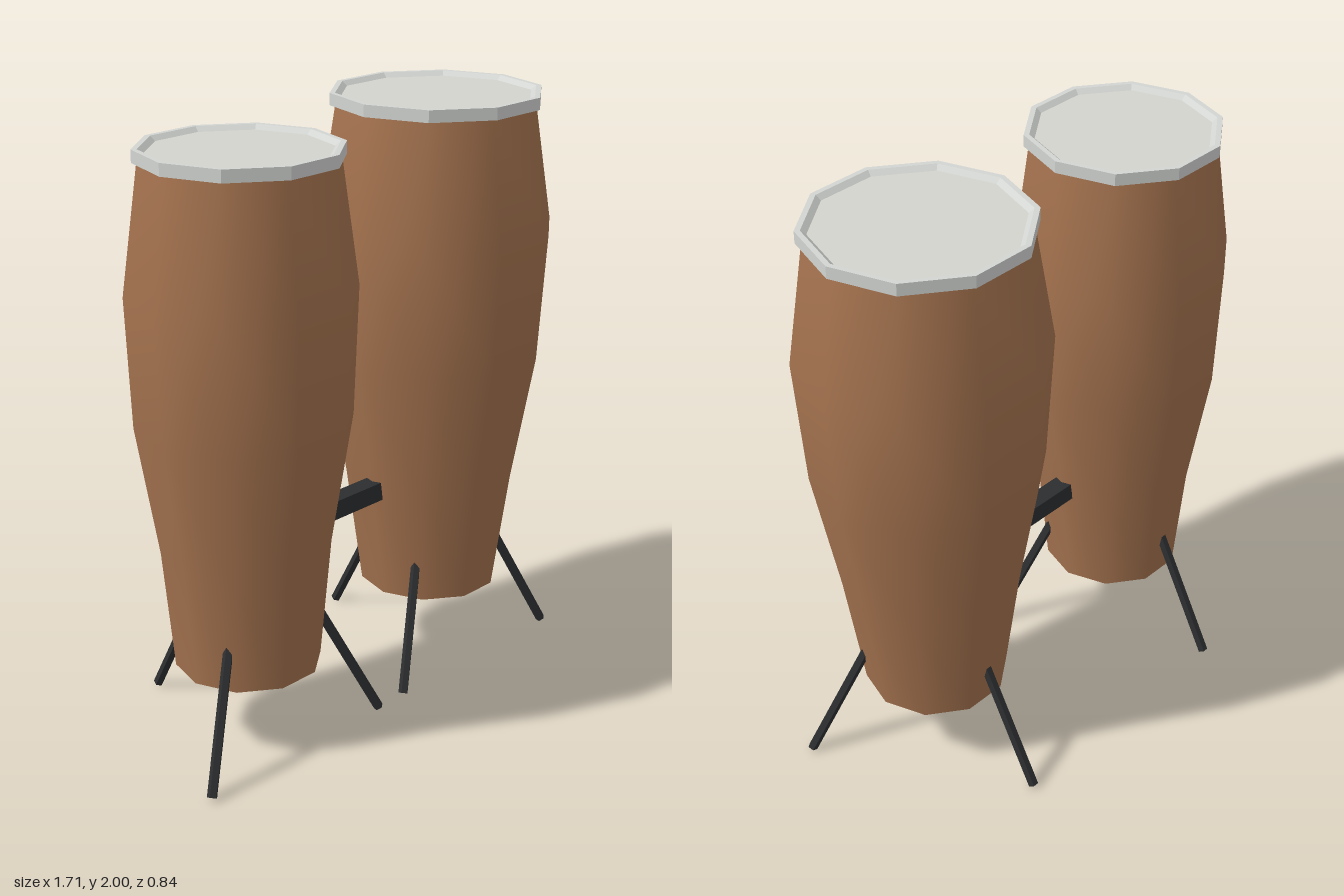
import * as THREE from 'three';

const SIDES = 10;

export function createModel() {
  const wood = new THREE.MeshStandardMaterial({ color: 0xa5734f, side: THREE.DoubleSide });
  wood.name = 'wood';
  const skin = new THREE.MeshStandardMaterial({ color: 0xd4d4ce });
  skin.name = 'drum skin';
  const metal = new THREE.MeshStandardMaterial({ color: 0xd2d5d2, flatShading: true });
  metal.name = 'metal';
  const black = new THREE.MeshStandardMaterial({ color: 0x2d2e30, flatShading: true });
  black.name = 'black steel';

  const model = new THREE.Group();
  model.name = 'pairOfDrums';

  const add = (parent, name, geometry, material) => {
    const mesh = new THREE.Mesh(geometry, material);
    mesh.name = name;
    parent.add(mesh);
    return mesh;
  };
  const lathe = (points) => new THREE.LatheGeometry(
    points.map(([r, y]) => new THREE.Vector2(r, y)), SIDES, Math.PI / 2);

  // Round bar between two points
  const strut = (parent, name, a, b, radius, sides, material) => {
    const dir = b.clone().sub(a);
    const mesh = add(parent, name, new THREE.CylinderGeometry(radius, radius, dir.length(), sides), material);
    mesh.position.copy(a).add(b).multiplyScalar(0.5);
    mesh.quaternion.setFromUnitVectors(new THREE.Vector3(0, 1, 0), dir.normalize());
  };

  function addDrum(name, x, shell, rimRadius, top) {
    const drum = new THREE.Group();
    drum.name = name;
    drum.position.set(x, 0, 0.04);
    model.add(drum);

    // Tapered barrel, open underneath
    add(drum, 'shell', lathe(shell), wood);

    // Hoop with a raised lip around the recessed skin
    const low = top - 0.04;
    add(drum, 'hoop', lathe([
      [rimRadius - 0.04, low], [rimRadius, low], [rimRadius, top],
      [rimRadius - 0.018, top], [rimRadius - 0.035, top - 0.015],
    ]), metal);
    const head = add(drum, 'head', new THREE.CircleGeometry(rimRadius - 0.034, SIDES).rotateX(-Math.PI / 2), skin);
    head.position.y = top - 0.015;

    // Centre rod
    strut(drum, 'centreRod', new THREE.Vector3(0, 0.22, 0), new THREE.Vector3(0, low, 0), 0.025, 8, metal);

    // Three splayed legs passing through the shell
    for (const degrees of [30, 150, 270]) {
      const angle = THREE.MathUtils.degToRad(degrees);
      const at = (r, y) => new THREE.Vector3(Math.cos(angle) * r, y, Math.sin(angle) * r);
      strut(drum, 'leg', at(0.448, 0.009), at(0.17, 0.53), 0.017, 5, black);
    }
  }

  addDrum('largeDrum', 0.447, [
    [0.24, 0.265], [0.298, 0.68], [0.376, 1.12], [0.403, 1.55], [0.338, 1.965],
  ], 0.357, 2.0);
  addDrum('smallDrum', -0.457, [
    [0.238, 0.265], [0.275, 0.66], [0.346, 1.09], [0.363, 1.51], [0.307, 1.925],
  ], 0.323, 1.96);

  // Crossbar joining the drums
  const bar = add(model, 'crossbar', new THREE.BoxGeometry(0.42, 0.065, 0.065), black);
  bar.position.set(-0.015, 0.67, 0.037);

  return model;
}
